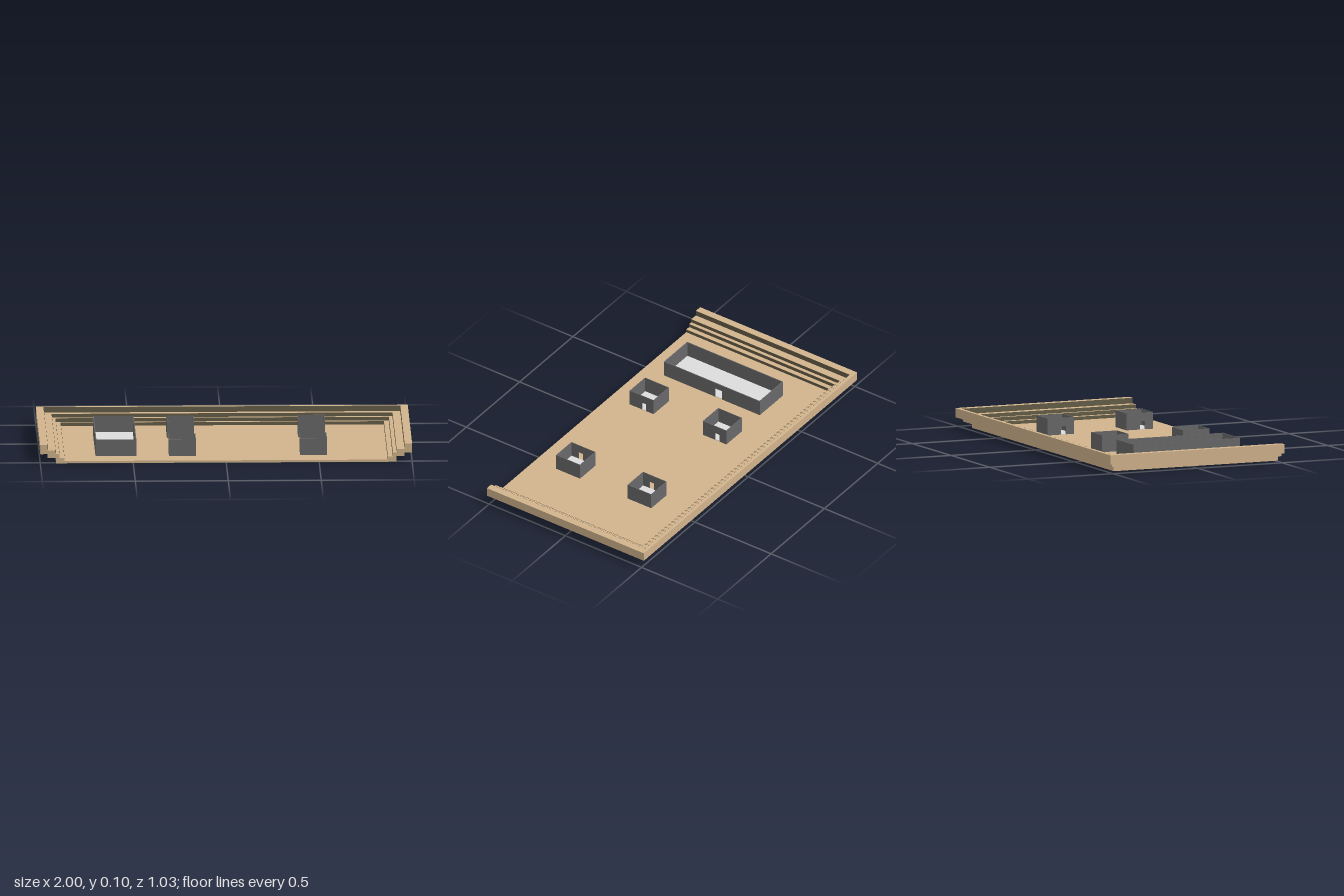
import * as THREE from 'three';

const material = (name, color, side = THREE.FrontSide) => {
  const m = new THREE.MeshStandardMaterial({ color, side });
  m.name = name;
  return m;
};

export function createModel() {
  const tan = material('tan', 0xd2b48c);
  const olive = material('dark olive', 0x665e48, THREE.DoubleSide);
  const gray = material('dark gray', 0x69696b);
  const pale = material('pale gray', 0xdcdcdc);

  const model = new THREE.Group();
  model.name = 'terracedCourt';
  const front = 0.515, floorY = 0.012;

  const add = (parent, name, geometry, mat, x = 0, y = 0, z = 0) => {
    const mesh = new THREE.Mesh(geometry, mat);
    mesh.name = name;
    mesh.position.set(x, y, z);
    parent.add(mesh);
    return mesh;
  };

  // Ground slab
  add(model, 'ground', new THREE.BoxGeometry(1.74, floorY, front + 0.42), tan,
    0, floorY / 2, (front - 0.42) / 2);

  // U-shaped steps: outer x, outer back z, inner x, inner back z, bottom, top, riser bottom
  const steps = [
    [0.915, -0.457, 0.87, -0.42, 0, 0.03, floorY],
    [0.96, -0.487, 0.897, -0.44, 0.03, 0.05, 0.03],
    [1, -0.515, 0.917, -0.46, 0.05, 0.07, 0.05],
    [1, -0.515, 0.96, -0.495, 0.07, 0.1, 0.07],
  ];
  steps.forEach(([ox, oz, ix, iz, y0, y1, r0], i) => {
    const group = new THREE.Group();
    group.name = `step${i + 1}`;
    model.add(group);
    // Shape lies in x and -z, then is laid flat
    const outline = [[-ox, -front], [-ix, -front], [-ix, -iz], [ix, -iz],
      [ix, -front], [ox, -front], [ox, -oz], [-ox, -oz]];
    const shape = new THREE.Shape(outline.map(([x, y]) => new THREE.Vector2(x, y)));
    const geometry = new THREE.ExtrudeGeometry(shape, { depth: y1 - y0, bevelEnabled: false });
    geometry.rotateX(-Math.PI / 2);
    add(group, 'stepBody', geometry, tan, 0, y0, 0);

    // Dark riser faces on the inside
    const h = y1 - r0, y = (y1 + r0) / 2, gap = 0.001;
    add(group, 'backRiser', new THREE.PlaneGeometry(2 * ix, h), olive, 0, y, iz + gap);
    for (const s of [-1, 1]) {
      const riser = add(group, 'sideRiser', new THREE.PlaneGeometry(front - iz, h), olive,
        s * (ix - gap), y, (front + iz) / 2);
      riser.rotation.y = -s * Math.PI / 2;
    }
  });

  // Roofless hut; the door is in the wall on side s, at doorZ
  const hut = (name, x0, x1, z0, z1, s, doorZ, doorW, doorH, t) => {
    const group = new THREE.Group();
    group.name = name;
    model.add(group);
    const h = 0.103 - floorY, cx = (x0 + x1) / 2, cz = (z0 + z1) / 2;
    const w = x1 - x0, d = z1 - z0;
    add(group, 'hutFloor', new THREE.BoxGeometry(w - t, 0.003, d - t), pale, cx, floorY + 0.0015, cz);
    for (const z of [z0 + t / 2, z1 - t / 2])
      add(group, 'endWall', new THREE.BoxGeometry(w, h, t), gray, cx, floorY + h / 2, z);
    add(group, 'plainWall', new THREE.BoxGeometry(t, h, d - 2 * t), gray,
      cx - s * (w - t) / 2, floorY + h / 2, cz);

    // Wall with door notch, drawn in -z and y, then turned to run along z
    const a = -z1 + t, b = -z0 - t, c = -doorZ, e = doorW / 2;
    const shape = new THREE.Shape([[a, 0], [c - e, 0], [c - e, doorH], [c + e, doorH],
      [c + e, 0], [b, 0], [b, h], [a, h]].map(([x, y]) => new THREE.Vector2(x, y)));
    const geometry = new THREE.ExtrudeGeometry(shape, { depth: t, bevelEnabled: false });
    geometry.rotateY(Math.PI / 2);
    add(group, 'doorWall', geometry, gray, s > 0 ? x1 - t : x0, floorY, 0);
  };

  hut('longHall', -0.7, -0.48, -0.24, 0.39, 1, 0.03, 0.045, 0.055, 0.005);
  hut('backRightHut', -0.305, -0.16, -0.245, -0.09, 1, -0.185, 0.028, 0.045, 0.003);
  hut('frontRightHut', -0.305, -0.16, 0.233, 0.39, 1, 0.295, 0.028, 0.045, 0.003);
  hut('backLeftHut', 0.4, 0.545, -0.245, -0.09, -1, -0.15, 0.028, 0.045, 0.003);
  hut('frontLeftHut', 0.4, 0.545, 0.222, 0.38, -1, 0.317, 0.028, 0.045, 0.003);

  return model;
}
